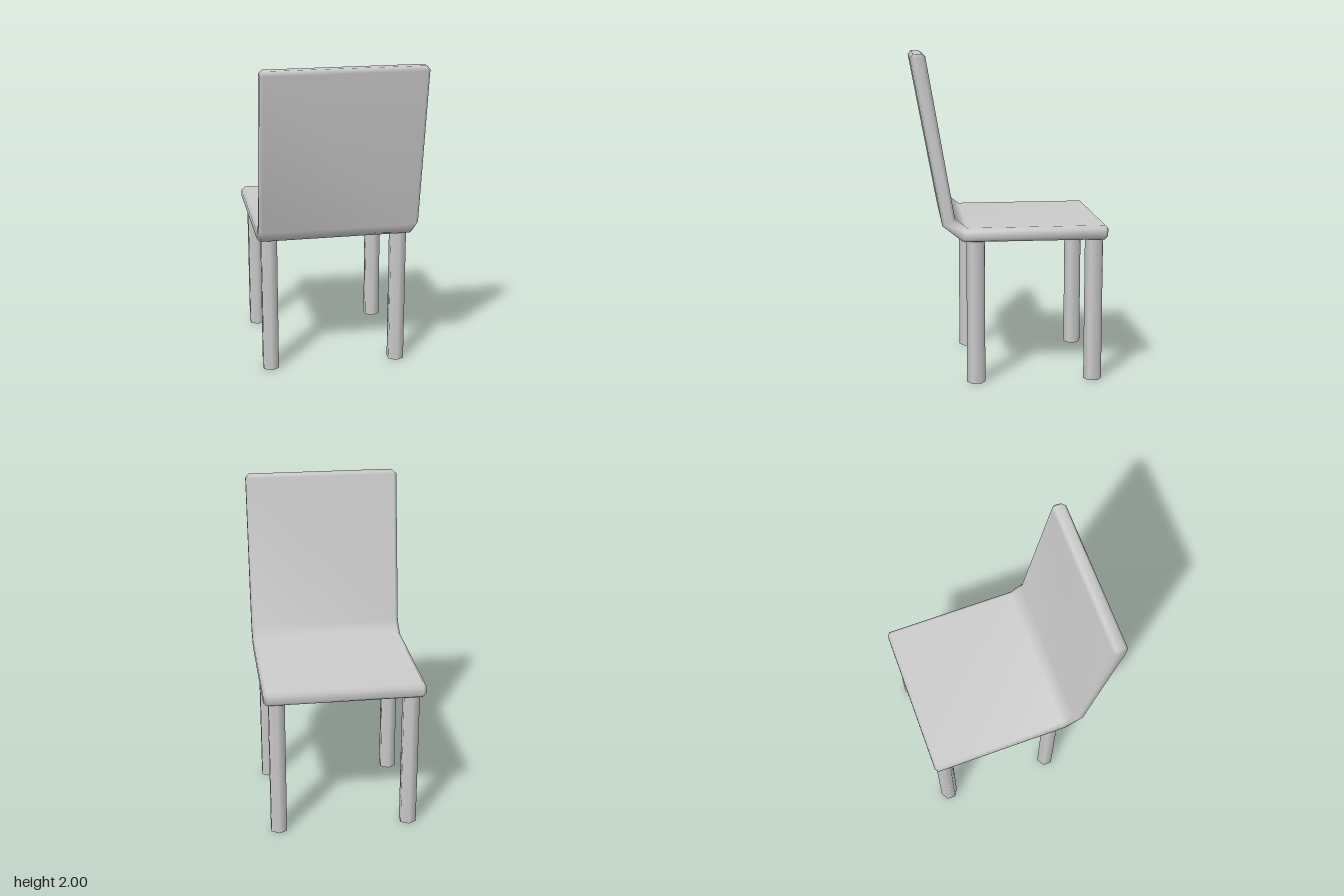
import * as THREE from 'three';
import { mergeVertices } from 'three/addons/utils/BufferGeometryUtils.js';

const material = new THREE.MeshStandardMaterial({ color: 0xcccccc });

// Bent panel: chamfered cross-sections swept from the seat edge to the top of the back.
function createShellGeometry() {
  // upper point [z, y], lower point [z, y], half width, chamfer
  const stations = [
    [[-0.59, 0.955], [-0.59, 0.907], 0.47, 0],
    [[-0.572, 0.975], [-0.572, 0.888], 0.492, 0.022],
    [[0.262, 0.972], [0.285, 0.887], 0.492, 0.022],
    [[0.335, 1.03], [0.41, 0.985], 0.492, 0.022],
    [[0.5, 1.985], [0.591, 1.973], 0.492, 0.022],
    [[0.52, 2.0], [0.572, 2.0], 0.47, 0],
  ];
  const positions = [];
  const index = [];
  for (const [top, bottom, w, c] of stations) {
    const f = c > 0 ? 0.25 : 0;
    const inner = w - c;
    const ring = [
      [w, f], [w, 1 - f], [inner, 1], [-inner, 1],
      [-w, 1 - f], [-w, f], [-inner, 0], [inner, 0],
    ];
    for (const [x, t] of ring) {
      positions.push(
        x,
        THREE.MathUtils.lerp(bottom[1], top[1], t),
        THREE.MathUtils.lerp(bottom[0], top[0], t),
      );
    }
  }
  // Skin between neighbouring rings
  for (let i = 0; i < stations.length - 1; i++) {
    for (let k = 0; k < 8; k++) {
      const a = i * 8 + k;
      const b = i * 8 + (k + 1) % 8;
      index.push(a, b, a + 8, b, b + 8, a + 8);
    }
  }
  // Flat end caps
  const last = (stations.length - 1) * 8;
  for (let k = 1; k < 7; k++) {
    index.push(0, k + 1, k);
    index.push(last, last + k, last + k + 1);
  }
  const geometry = new THREE.BufferGeometry();
  geometry.setAttribute('position', new THREE.Float32BufferAttribute(positions, 3));
  geometry.setIndex(index);
  const merged = mergeVertices(geometry, 1e-4);
  merged.computeVertexNormals();
  return merged;
}

export function createModel() {
  const chair = new THREE.Group();
  chair.name = 'chair';

  // Seat and backrest in one piece
  const shell = new THREE.Mesh(createShellGeometry(), material);
  shell.name = 'seatAndBackrest';
  chair.add(shell);

  // Four six-sided legs
  const legHeight = 0.9;
  const legGeometry = new THREE.CylinderGeometry(0.056, 0.056, legHeight, 6);
  for (const [end, z] of [['front', -0.514], ['back', 0.208]]) {
    for (const [side, x] of [['Left', 0.41], ['Right', -0.41]]) {
      const leg = new THREE.Mesh(legGeometry, material);
      leg.name = `${end}${side}Leg`;
      leg.position.set(x, legHeight / 2, z);
      chair.add(leg);
    }
  }
  return chair;
}
